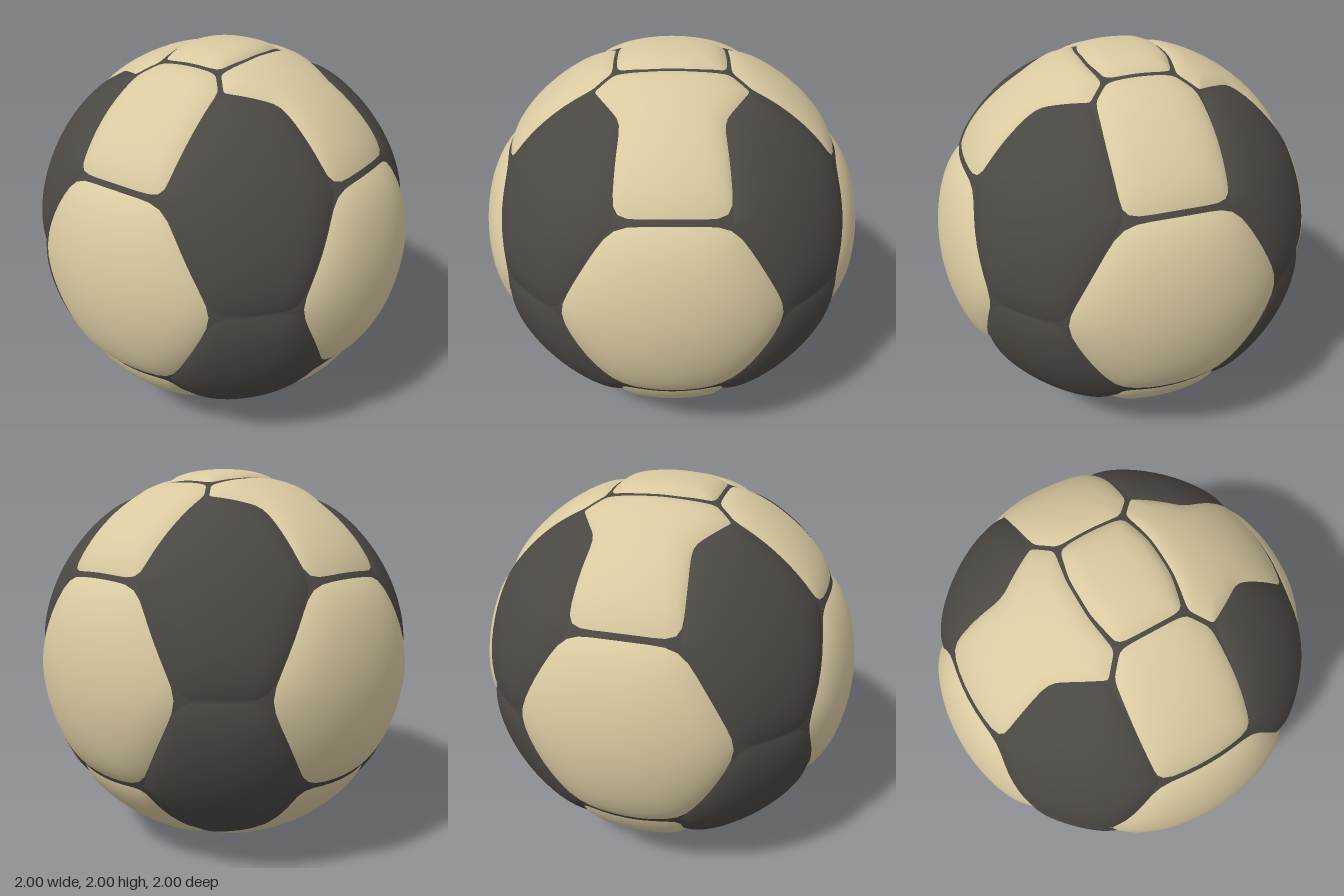
import * as THREE from 'three';

const RINGS = 14, EDGE_STEPS = 8;

// point on the unit sphere from two coordinates, solving the third
const onZ = (x, y) => new THREE.Vector3(x, y, Math.sqrt(1 - x * x - y * y));
const onX = (z, y) => new THREE.Vector3(Math.sqrt(1 - z * z - y * y), y, z);
const onY = (x, z) => new THREE.Vector3(x, Math.sqrt(1 - x * x - z * z), z);

// subdivide a closed outline and soften its corners
function softOutline(corners) {
  let pts = [];
  corners.forEach((a, i) => {
    const b = corners[(i + 1) % corners.length];
    for (let k = 0; k < EDGE_STEPS; k++) pts.push(a.clone().lerp(b, k / EDGE_STEPS).normalize());
  });
  for (let pass = 0; pass < 2; pass++) {
    const n = pts.length;
    pts = pts.map((p, i) => p.clone().multiplyScalar(2)
      .add(pts[(i + 1) % n]).add(pts[(i + n - 1) % n]).normalize());
  }
  return pts;
}

// stuffed patch: rings from the middle to the outline, sinking into the seam at its rim
function panelGeometry(corners, radius, rim) {
  const middle = corners.reduce((s, p) => s.add(p), new THREE.Vector3()).normalize();
  const turn = new THREE.Vector3();
  corners.forEach((a, i) => turn.add(a.clone().cross(corners[(i + 1) % corners.length])));
  const outline = softOutline(turn.dot(middle) < 0 ? [...corners].reverse() : corners);
  const n = outline.length, pos = middle.clone().multiplyScalar(radius).toArray(), index = [];
  for (let r = 1; r <= RINGS; r++) {
    const t = 1 - Math.pow(1 - r / RINGS, 1.5);
    const height = radius - (radius - rim) * Math.pow(t, 6);
    for (const p of outline) pos.push(...middle.clone().lerp(p, t).normalize().multiplyScalar(height).toArray());
  }
  for (let i = 0; i < n; i++) {
    const j = (i + 1) % n;
    index.push(0, 1 + i, 1 + j);
    for (let r = 1; r < RINGS; r++) {
      const a = 1 + (r - 1) * n, b = a + n;
      index.push(a + i, b + i, b + j, a + i, b + j, a + j);
    }
  }
  const g = new THREE.BufferGeometry();
  g.setAttribute('position', new THREE.Float32BufferAttribute(pos, 3));
  g.setIndex(index);
  g.computeVertexNormals();
  return g;
}

export function createModel() {
  const cream = new THREE.MeshStandardMaterial({ color: 0xd8c9a0 });
  cream.name = 'cream leather';
  const dark = new THREE.MeshStandardMaterial({ color: 0x4b4743 });
  dark.name = 'dark leather';

  const ball = new THREE.Group();
  ball.name = 'ball';
  ball.position.y = 1;

  // inner ball showing through the seams
  const core = new THREE.Mesh(new THREE.SphereGeometry(0.966, 64, 48), dark);
  core.name = 'seamCore';
  ball.add(core);

  const add = (name, corners, scale, mat, radius, rim) => {
    const flipped = corners.map(p => p.clone().multiply(new THREE.Vector3(...scale)));
    const m = new THREE.Mesh(panelGeometry(flipped, radius, rim), mat);
    m.name = name;
    ball.add(m);
  };
  // mirror half an outline across x or z
  const mirrorX = half => [...half, ...half.map(p => new THREE.Vector3(-p.x, p.y, p.z)).reverse()];
  const mirrorZ = half => [...half, ...half.map(p => new THREE.Vector3(p.x, p.y, -p.z)).reverse()];

  // outlines
  const hexFront = [onZ(0.55, 0), onZ(0.27, 0.485), onZ(-0.27, 0.485),
    onZ(-0.55, 0), onZ(-0.27, -0.485), onZ(0.27, -0.485)];
  const hexSide = hexFront.map(p => new THREE.Vector3(p.z, p.y, p.x));
  const petalFront = mirrorX([onZ(0.27, 0.512), onY(0.235, 0.5), onY(0.37, 0.28),
    onY(0.365, 0.265), onY(0.28, 0.19), onY(0.1, 0.22)]);
  const petalSide = mirrorZ([onX(0.255, 0.512), onY(0.6, 0.265), onY(0.385, 0.25), onY(0.29, 0.165)]);
  const cap = mirrorX([onY(0.27, -0.165), onY(0.27, 0.165), onY(0.1, 0.205)].concat([]))
    .concat([onY(-0.1, -0.205), onY(0.1, -0.205)]);
  // keep the cap outline in order around the pole
  cap.sort((a, b) => Math.atan2(a.z, a.x) - Math.atan2(b.z, b.x));
  const corner = [onZ(0.55, 0.005), onZ(0.275, 0.485), onZ(0.27, 0.512), onY(0.24, 0.5), onY(0.375, 0.275),
    onY(0.6, 0.268), onX(0.258, 0.512), onX(0.275, 0.485), onX(0.55, 0.005)];

  // four hexagons around the middle
  for (const s of [1, -1]) {
    add(s > 0 ? 'frontHexagon' : 'backHexagon', hexFront, [1, 1, s], cream, 1, 0.972);
    add(s > 0 ? 'leftHexagon' : 'rightHexagon', hexSide, [s, 1, 1], cream, 1, 0.972);
  }
  // caps, petals and dark corner panels, above and below
  for (const y of [1, -1]) {
    const level = y > 0 ? 'upper' : 'lower';
    add(level + 'Cap', cap, [1, y, 1], cream, 1, 0.975);
    for (const s of [1, -1]) {
      add(level + (s > 0 ? 'FrontPetal' : 'BackPetal'), petalFront, [1, y, s], cream, 0.99, 0.972);
      add(level + (s > 0 ? 'LeftPetal' : 'RightPetal'), petalSide, [s, y, 1], cream, 0.99, 0.972);
      for (const z of [1, -1]) {
        add(level + (z > 0 ? 'Front' : 'Back') + (s > 0 ? 'Left' : 'Right') + 'DarkPanel',
          corner, [s, y, z], dark, 0.992, 0.968);
      }
    }
  }

  const root = new THREE.Group();
  root.name = 'stitchedBall';
  root.add(ball);
  return root;
}
